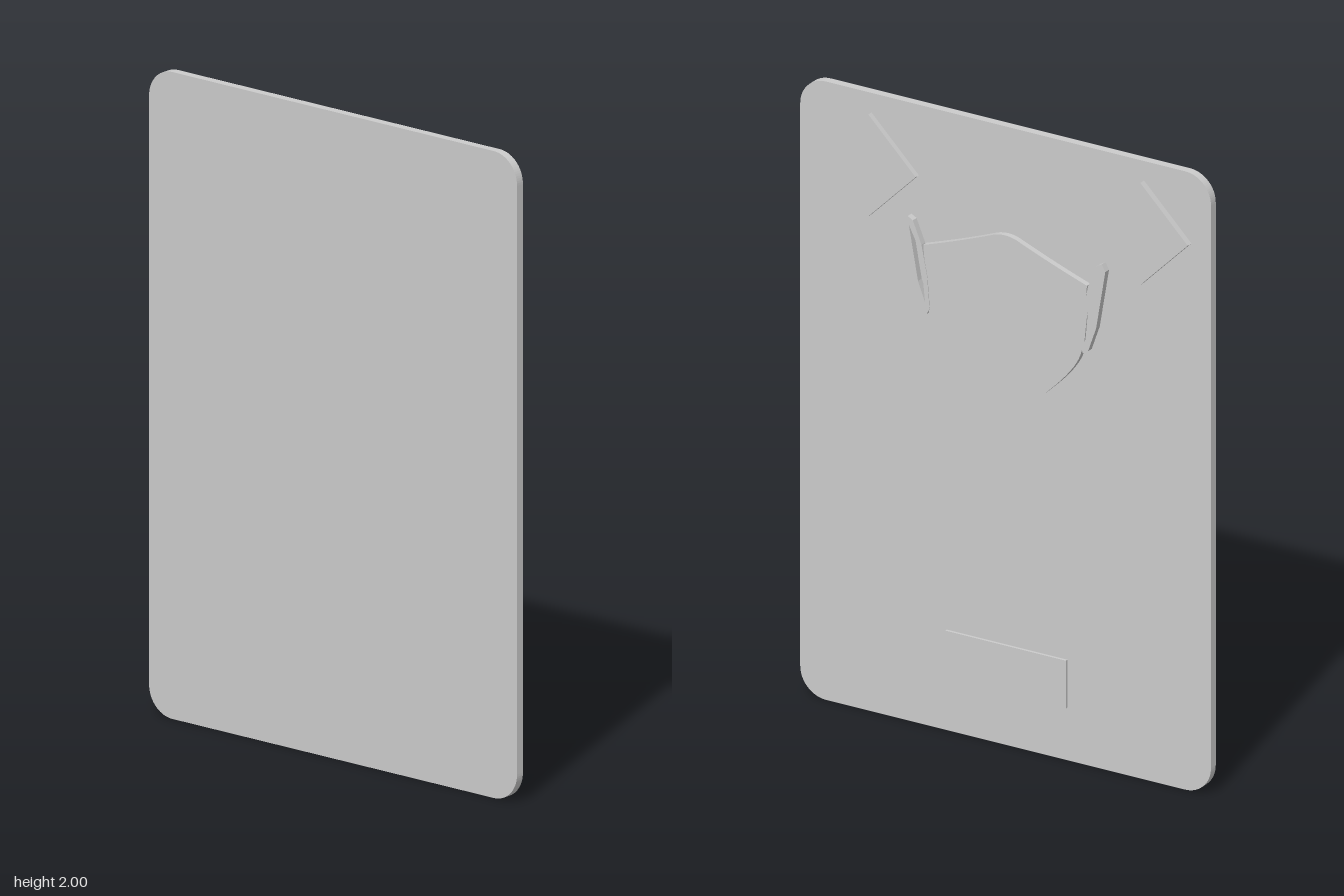
import * as THREE from 'three';

const BACK = -0.003; // rear face of the board
const MID = -0.01;   // centre line of the mask-shaped relief

export function createModel() {
  const group = new THREE.Group();
  const material = new THREE.MeshStandardMaterial({ color: 0xcccccc });

  // Extrude a front-plane shape between two depths
  function plate(name, shape, zMin, zMax) {
    const geometry = new THREE.ExtrudeGeometry(shape, {
      depth: zMax - zMin, bevelEnabled: false, curveSegments: 10,
    });
    geometry.translate(0, 0, zMin);
    const mesh = new THREE.Mesh(geometry, material);
    mesh.name = name;
    group.add(mesh);
    return mesh;
  }
  const polygon = (points) => new THREE.Shape(points.map(([x, y]) => new THREE.Vector2(x, y)));

  // Board with rounded corners
  const w = 0.715, h = 2, r = 0.09;
  const board = new THREE.Shape();
  board.absarc(w - r, r, r, -Math.PI / 2, 0);
  board.absarc(w - r, h - r, r, 0, Math.PI / 2);
  board.absarc(-w + r, h - r, r, Math.PI / 2, Math.PI);
  board.absarc(-w + r, r, r, Math.PI, Math.PI * 1.5);
  board.closePath();
  plate('board', board, BACK, 0.024);

  // Two square pads standing on a corner
  const pads = [['leftPad', 0.467, -0.021], ['rightPad', -0.482, -0.024]];
  for (const [name, x, z] of pads) {
    const d = 0.165, y = 1.772;
    plate(name, polygon([[x, y - d], [x + d, y], [x, y + d], [x - d, y]]), z, BACK);
  }

  // Mask body: peaked upper edge, rounded pointed lower edge
  const body = new THREE.Shape();
  body.moveTo(MID - 0.285, 1.56);
  body.lineTo(MID - 0.265, 1.34);
  body.quadraticCurveTo(MID - 0.25, 1.28, MID - 0.14, 1.18);
  body.quadraticCurveTo(MID, 1.1, MID + 0.14, 1.18);
  body.quadraticCurveTo(MID + 0.25, 1.28, MID + 0.265, 1.34);
  body.lineTo(MID + 0.285, 1.56);
  body.quadraticCurveTo(MID + 0.15, 1.605, MID + 0.04, 1.65);
  body.quadraticCurveTo(MID, 1.664, MID - 0.04, 1.65);
  body.quadraticCurveTo(MID - 0.15, 1.605, MID - 0.285, 1.56);
  plate('maskBody', body, -0.022, BACK);

  // Narrow side loops with a slot, mirrored about the centre line
  const outer = [[0.262, 1.36], [0.272, 1.34], [0.29, 1.35], [0.318, 1.43], [0.34, 1.56],
    [0.35, 1.62], [0.338, 1.642], [0.32, 1.632], [0.29, 1.56], [0.27, 1.46]];
  const slot = [[0.277, 1.375], [0.302, 1.44], [0.324, 1.56], [0.334, 1.615], [0.306, 1.56], [0.286, 1.46]];
  for (const side of [1, -1]) {
    const place = (points) => points.map(([x, y]) => new THREE.Vector2(MID + side * x, y));
    const loop = new THREE.Shape(place(outer));
    loop.holes.push(new THREE.Path(place(slot)));
    plate(side > 0 ? 'leftLoop' : 'rightLoop', loop, -0.024, BACK);
  }

  // Pointed plaque near the foot
  plate('lowerPlaque', polygon([[-0.215, 0.17], [-0.005, 0.085], [0.205, 0.17],
    [0.205, 0.325], [-0.215, 0.325]]), -0.012, BACK);

  return group;
}
